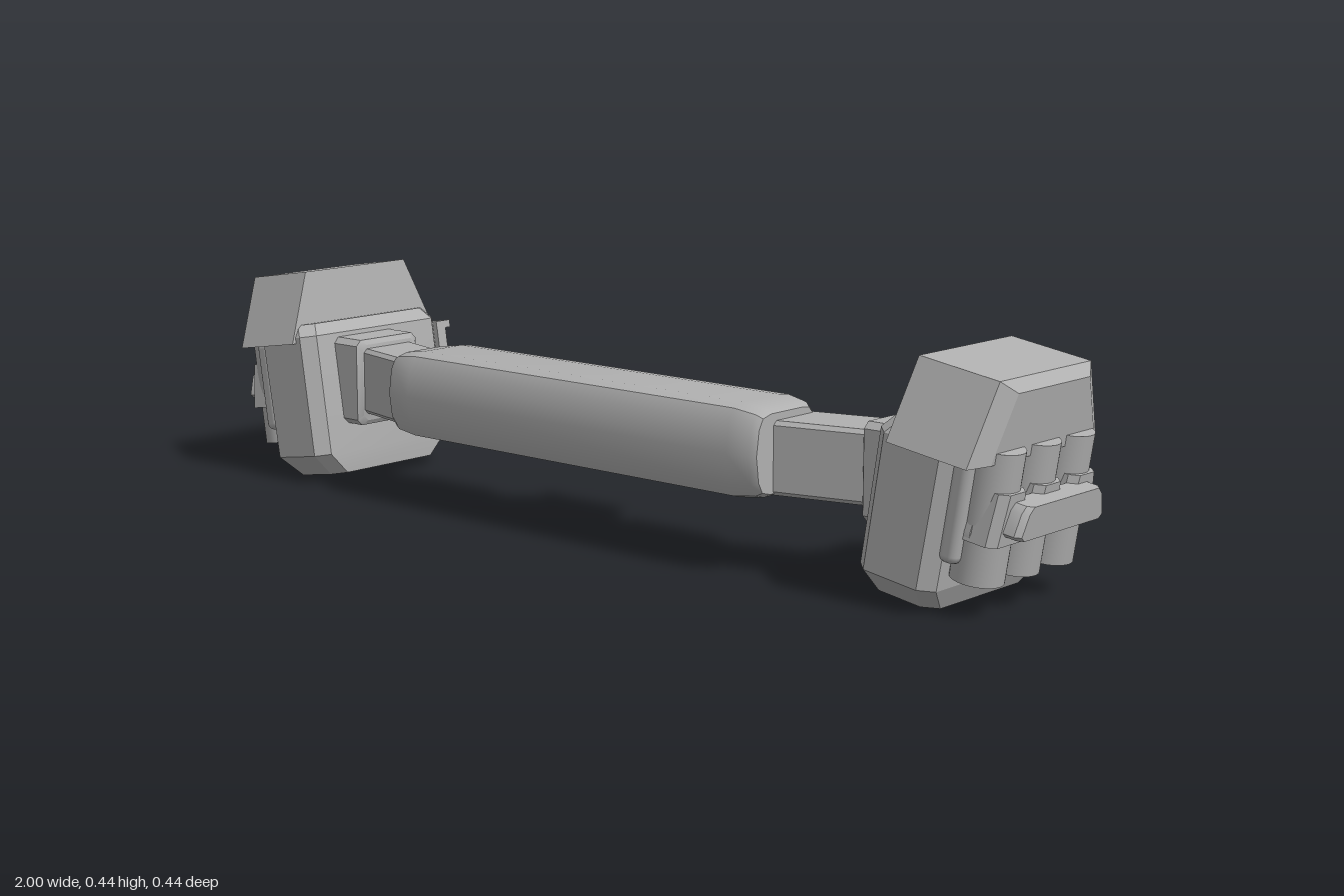
import * as THREE from 'three';
import { toCreasedNormals } from 'three/addons/utils/BufferGeometryUtils.js';
import { RoundedBoxGeometry } from 'three/addons/geometries/RoundedBoxGeometry.js';

const grey = new THREE.MeshStandardMaterial({ color: 0xb0b0b0 });
grey.name = 'plain grey';

// Skin a closed solid through rings of [x, y, z] points
function loft(rings, crease = 0.6) {
  const n = rings[0].length, pos = [];
  const tri = (a, b, c) => pos.push(...a, ...b, ...c);
  for (let i = 0; i < rings.length - 1; i++) {
    for (let j = 0; j < n; j++) {
      const k = (j + 1) % n, p = rings[i], q = rings[i + 1];
      tri(p[j], p[k], q[k]);
      tri(p[j], q[k], q[j]);
    }
  }
  const first = rings[0], last = rings[rings.length - 1];
  for (let j = 1; j < n - 1; j++) {
    tri(first[0], first[j + 1], first[j]);
    tri(last[0], last[j], last[j + 1]);
  }
  // turn the faces outward if the signed volume is negative
  let volume = 0;
  const v = [0, 1, 2].map(() => new THREE.Vector3());
  for (let i = 0; i < pos.length; i += 9) {
    v.forEach((p, k) => p.fromArray(pos, i + 3 * k));
    volume += v[0].dot(v[1].clone().cross(v[2]));
  }
  if (volume < 0) {
    for (let i = 0; i < pos.length; i += 9) {
      for (let k = 0; k < 3; k++) [pos[i + 3 + k], pos[i + 6 + k]] = [pos[i + 6 + k], pos[i + 3 + k]];
    }
  }
  const geo = new THREE.BufferGeometry();
  geo.setAttribute('position', new THREE.Float32BufferAttribute(pos, 3));
  return toCreasedNormals(geo, crease);
}

// Rectangle with cut corners, from (a0, b0) to (a1, b1)
function cutRect(a0, a1, b0, b1, c) {
  return [[a0 + c, b0], [a1 - c, b0], [a1, b0 + c], [a1, b1 - c],
    [a1 - c, b1], [a0 + c, b1], [a0, b1 - c], [a0, b0 + c]];
}

function add(parent, name, geo, x = 0, y = 0, z = 0) {
  const mesh = new THREE.Mesh(geo, grey);
  mesh.name = name;
  mesh.position.set(x, y, z);
  parent.add(mesh);
  return mesh;
}

const rounded = (w, h, d, r) => new RoundedBoxGeometry(w, h, d, 2, r);

function pouch() {
  const g = new THREE.Group();
  g.name = 'pouch';

  // body with cut vertical edges and a tapered base
  const level = (y, u0, u1, z) => cutRect(u0, u1, -z, z, 0.025).map(([x, w]) => [x, y, w]);
  add(g, 'pouchBody', loft([
    level(0, -0.06, 0.08, 0.145), level(0.045, -0.068, 0.095, 0.19),
    level(0.295, -0.068, 0.1, 0.19), level(0.32, -0.05, 0.09, 0.175)], 0.3));

  // lid flaring towards its lower rim, with a chamfered outer face
  const lidRing = (u, y0, y1, zb, zt) => [[u, y0, -zb], [u, y1, -zt], [u, y1, zt], [u, y0, zb]];
  add(g, 'pouchLid', loft([
    lidRing(-0.03, 0.283, 0.429, 0.2, 0.14),
    lidRing(0.137, 0.283, 0.429, 0.2, 0.14),
    lidRing(0.158, 0.29, 0.41, 0.16, 0.11)], 0.1));

  // carrier panel, loops and cylinders on the outer face
  add(g, 'carrierPanel', rounded(0.04, 0.19, 0.345, 0.015), 0.106, 0.196, 0);
  for (const z of [-0.107, 0, 0.107]) {
    add(g, 'cylinder', new THREE.CylinderGeometry(0.048, 0.048, 0.238, 32), 0.134, 0.191, z);
    add(g, 'cylinderLoop', loft([[0.15, 0.052], [0.242, 0.037]].map(([y, w]) =>
      cutRect(0.1, 0.187, z - w, z + w, 0.015).map(([x, d]) => [x, y, d]))));
  }
  add(g, 'carrierWeb', loft([[0.15, 0.158], [0.165, 0.158], [0.24, 0.14]].map(([y, w]) =>
    cutRect(0.1, 0.15, -w, w, 0.012).map(([x, d]) => [x, y, d]))));

  // tapered strap across the cylinders
  add(g, 'crossStrap', loft([[0.168, 0.125], [0.176, 0.135], [0.215, 0.122], [0.227, 0.11]].map(([y, w]) =>
    cutRect(0.172, 0.219, -w, w, 0.01).map(([x, d]) => [x, y, d]))));

  // buckle on the back
  add(g, 'bucklePlate', new THREE.BoxGeometry(0.08, 0.06, 0.03), 0.002, 0.245, -0.2);
  for (const y of [0.222, 0.277]) add(g, 'buckleBar', new THREE.BoxGeometry(0.11, 0.014, 0.025), 0.002, y, -0.207);
  for (const x of [-0.046, 0.05]) add(g, 'buckleSide', new THREE.BoxGeometry(0.014, 0.068, 0.025), x, 0.25, -0.205);
  add(g, 'buckleLip', new THREE.BoxGeometry(0.11, 0.016, 0.04), 0.002, 0.277, -0.212);

  g.position.set(0.75, 0.012, 0.01);
  g.rotation.z = -THREE.MathUtils.degToRad(9);
  return g;
}

// One end of the belt: arm, bracket, pouch and back clip
function beltSide(name) {
  const g = new THREE.Group();
  g.name = name;
  const armRing = (x, z0, z1) => cutRect(0.15, 0.287, z0, z1, 0.008).map(([y, z]) => [x, y, z]);
  add(g, 'arm', loft([armRing(0.44, 0.035, 0.165), armRing(0.7, -0.035, 0.102)]));
  const bracketRing = (x, e) => cutRect(0.125 + e, 0.305 - e, -0.04 + e, 0.128 - e, 0.012).map(([y, z]) => [x, y, z]);
  add(g, 'bracket', loft([bracketRing(0.65, 0.01), bracketRing(0.658, 0), bracketRing(0.74, 0)]));
  g.add(pouch());

  add(g, 'clipPlate', rounded(0.13, 0.075, 0.03, 0.008), 0.305, 0.23, 0.015);
  add(g, 'clipBar', loft([[0.02, 0.105], [0.008, 0.105], [-0.002, 0.09]].map(([z, w]) =>
    cutRect(0.305 - w, 0.305 + w, 0.226, 0.256, 0.006).map(([x, y]) => [x, y, z]))));
  return g;
}

export function createModel() {
  const model = new THREE.Group();
  model.name = 'beltWithPouches';

  // padded front with a bulging face and drawn-in ends; profile in (z, y)
  const profile = [[0.015, 0.165], [0.015, 0.29], [0.035, 0.312], [0.06, 0.315], [0.165, 0.315], [0.192, 0.308],
    [0.205, 0.285], [0.213, 0.228], [0.205, 0.17], [0.192, 0.147], [0.165, 0.14], [0.06, 0.14], [0.035, 0.143]];
  const padRing = (x, s, shift) => profile.map(([z, y]) =>
    [x, 0.2275 + (y - 0.2275) * s, 0.114 + shift + (z - 0.114) * s]);
  const ends = [[0.478, 0.84, 0.006], [0.465, 0.92, 0.004], [0.415, 1, 0]];
  add(model, 'frontPad', loft([
    ...ends.map(([x, s, d]) => padRing(-x, s, d)),
    ...ends.slice().reverse().map(([x, s, d]) => padRing(x, s, d))]));

  // stepped buckle on the back of the pad
  const buckle = new THREE.Group();
  buckle.name = 'centreBuckle';
  model.add(buckle);
  add(buckle, 'buckleBase', rounded(0.212, 0.1, 0.04, 0.012), 0, 0.228, 0.003);
  add(buckle, 'buckleNeck', new THREE.BoxGeometry(0.15, 0.06, 0.05), 0, 0.23, -0.025);
  add(buckle, 'buckleFace', new THREE.BoxGeometry(0.166, 0.05, 0.022), 0, 0.232, -0.048);
  for (const y of [0.202, 0.262]) add(buckle, 'buckleRim', new THREE.BoxGeometry(0.166, 0.012, 0.032), 0, y, -0.048);

  const left = beltSide('leftSide');
  const right = beltSide('rightSide');
  right.scale.x = -1;
  model.add(left, right);
  return model;
}
